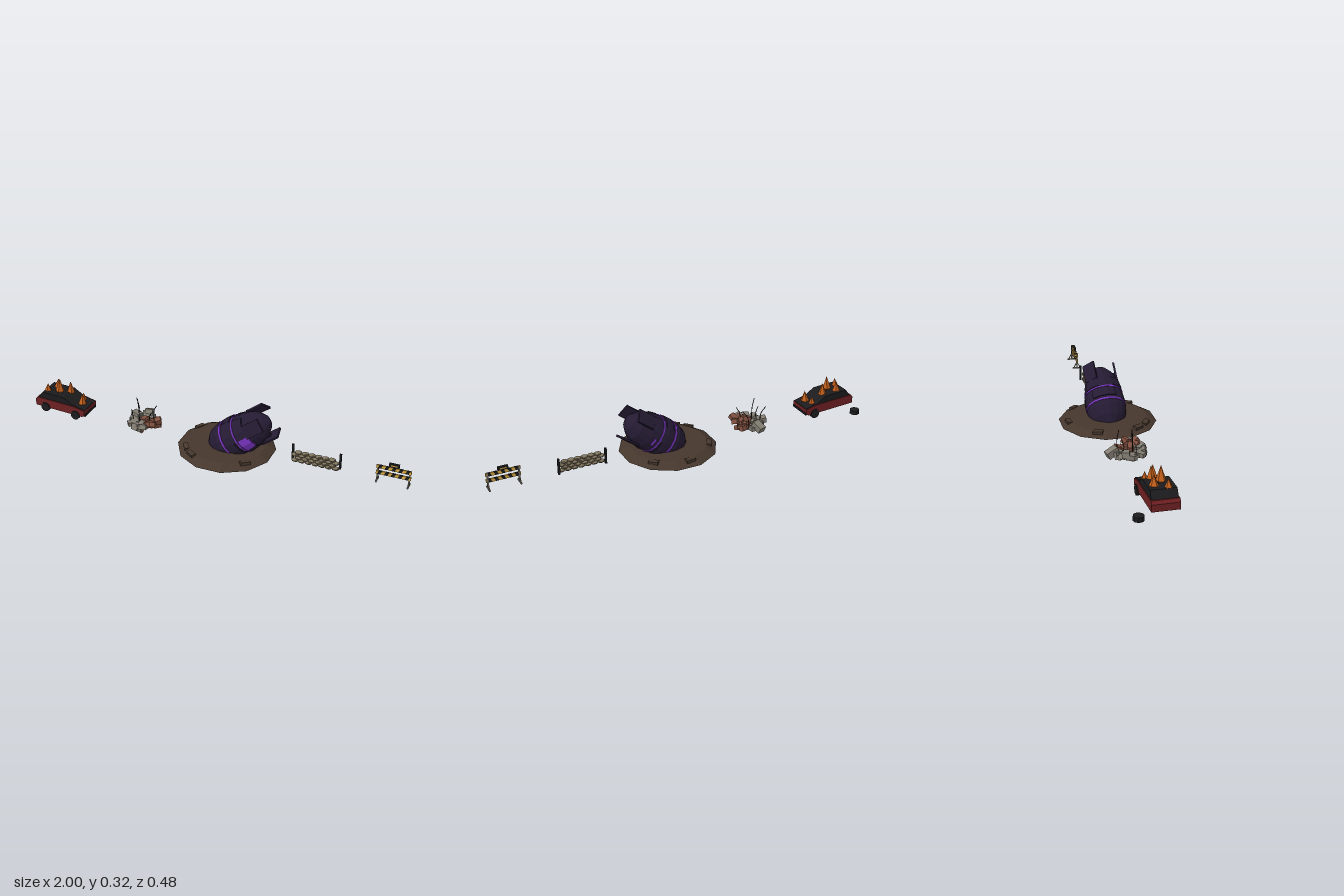
import * as THREE from 'three';

const mat = (name, color, double = false) => {
  const m = new THREE.MeshStandardMaterial({ color, flatShading: true });
  m.name = name;
  if (double) m.side = THREE.DoubleSide;
  return m;
};

export function createModel() {
  const root = new THREE.Group();
  const M = {
    red: mat('carRed', 0x6e2022), black: mat('charcoal', 0x1c1c1e),
    flame: mat('flameOrange', 0xc4601c), grey: mat('concreteGrey', 0x827c72),
    brick: mat('brick', 0x80503f), earth: mat('earthBrown', 0x46372d),
    hull: mat('hullViolet', 0x251b33, true), glow: mat('glowPurple', 0x7c35c6, true),
    sack: mat('sackTan', 0x82765e), yellow: mat('boardYellow', 0xdcab42),
  };
  const G = 0.063; // ground level
  let seed = 7;
  const rnd = (a, b) => {
    seed = (seed * 16807) % 2147483647;
    return a + (b - a) * (seed / 2147483647);
  };
  const add = (parent, name, geo, m, p = [0, 0, 0], r = [0, 0, 0]) => {
    const o = new THREE.Mesh(geo, m);
    o.name = name;
    o.position.set(...p);
    o.rotation.set(...r);
    parent.add(o);
    return o;
  };
  const group = (name, x = 0, y = 0, z = 0) => {
    const g = new THREE.Group();
    g.name = name;
    g.position.set(x, y, z);
    root.add(g);
    return g;
  };
  const box = (w, h, d) => new THREE.BoxGeometry(w, h, d);
  const slab = (pts, depth) => new THREE.ExtrudeGeometry(
    new THREE.Shape(pts.map(p => new THREE.Vector2(...p))), { depth, bevelEnabled: false },
  ).translate(0, 0, -depth / 2);

  // Crater mound with loose clods on its rim
  const mound = group('mound', 0.067, G, 0);
  add(mound, 'moundBase', new THREE.CylinderGeometry(0.2, 0.247, 0.025, 12), M.earth, [0, 0.0125, 0], [0, Math.PI / 12, 0]);
  for (const a of [0.75, 2.2, 2.55, 3.6, 4.6, 5.5]) {
    add(mound, 'clod', box(0.025, 0.016, 0.05), M.earth,
      [Math.cos(a) * 0.205, 0.02, Math.sin(a) * 0.205], [rnd(-0.2, 0.2), -a, rnd(-0.3, 0)]);
  }

  // Crashed pod: its local y runs from the buried nose to the tail
  const pod = group('pod', 0.243, 0.226, 0);
  pod.rotation.z = -THREE.MathUtils.degToRad(53);
  const profile = [[0, -0.315], [0.05, -0.3], [0.085, -0.26], [0.1, -0.21], [0.1, -0.14],
    [0.09, -0.06], [0.072, 0], [0.04, 0.04], [0, 0.062]];
  const radiusAt = t => {
    const i = profile.findIndex(p => p[1] > t);
    const [r0, t0] = profile[i - 1], [r1, t1] = profile[i];
    return r0 + (r1 - r0) * (t - t0) / (t1 - t0);
  };
  const SIDES = 16, STEP = Math.PI * 2 / SIDES;
  add(pod, 'podHull', new THREE.LatheGeometry(profile.map(p => new THREE.Vector2(...p)), SIDES), M.hull);
  // Thin skins wrapped over the hull: t0..t1 along it, a number of facets around it
  const skin = (name, m, t0, t1, lift, first = 0, count = SIDES) => {
    const ts = [t0, (t0 + t1) / 2, t1];
    const pts = ts.map(t => new THREE.Vector2(radiusAt(t) + lift, t));
    pts.unshift(new THREE.Vector2(radiusAt(t0) - 0.001, t0));
    pts.push(new THREE.Vector2(radiusAt(t1) - 0.001, t1));
    add(pod, name, new THREE.LatheGeometry(pts, count, first * STEP, count * STEP), m);
  };
  skin('glowBand', M.glow, -0.187, -0.178, 0.003);
  skin('glowBand', M.glow, -0.112, -0.105, 0.003);
  skin('glowPatch', M.glow, -0.1, -0.045, 0.004, 0, 2);
  skin('glowChip', M.glow, -0.09, -0.08, 0.003, 7, 1);
  for (const f of [0, 5, 10]) skin('hullPanel', M.hull, -0.165, -0.122, 0.005, f, 3);
  for (const f of [2, 9, 13]) skin('hullPanel', M.hull, -0.1, -0.05, 0.004, f, 2);
  // Three tail plates
  for (const deg of [75, 195, 315]) {
    const mount = new THREE.Group();
    mount.name = 'tailFin';
    mount.rotation.y = THREE.MathUtils.degToRad(deg + 180);
    add(mount, 'finPlate', box(0.01, 0.1, 0.07), M.hull, [0.084, 0, 0]);
    add(mount, 'finStrut', box(0.03, 0.04, 0.015), M.hull, [0.068, -0.015, 0]);
    pod.add(mount);
  }

  // Burnt-out car, leaning toward its front end
  const car = group('burningCar', -0.852, G + 0.01, 0);
  car.rotation.z = -0.06;
  add(car, 'carBody', slab([[-0.142, 0.018], [0.13, 0.018], [0.143, 0.028], [0.143, 0.054],
    [0.085, 0.066], [-0.135, 0.066], [-0.145, 0.052]], 0.126), M.red);
  add(car, 'burntCabin', slab([[-0.128, 0.064], [0.085, 0.064], [0.02, 0.101], [-0.105, 0.101]], 0.118), M.black);
  add(car, 'burntHood', box(0.06, 0.004, 0.116), M.black, [0.112, 0.0615, 0], [0, 0, -0.2]);
  add(car, 'bumper', box(0.008, 0.012, 0.12), M.black, [0.143, 0.028, 0]);
  const wheel = () => new THREE.CylinderGeometry(0.025, 0.025, 0.022, 10);
  for (const [x, z] of [[-0.085, 0.058], [0.092, 0.058], [0.092, -0.058]]) {
    add(car, 'wheel', wheel(), M.black, [x, 0.02, z], [Math.PI / 2, 0, 0]);
  }
  // Flames: x, base y, z, height, radius
  for (const [x, y, z, h, r] of [[-0.09, 0.09, 0.025, 0.05, 0.018], [-0.06, 0.09, -0.03, 0.06, 0.021],
    [-0.028, 0.09, 0.01, 0.086, 0.023], [0.018, 0.08, -0.02, 0.08, 0.022], [0.106, 0.055, 0.012, 0.07, 0.022],
    [0.088, 0.055, -0.03, 0.05, 0.018]]) {
    add(car, 'flame', new THREE.ConeGeometry(r, h * 0.8, 5), M.flame, [x, y + h * 0.6, z], [0, x * 40, 0]);
    add(car, 'flameBase', new THREE.ConeGeometry(r, h * 0.2, 5), M.flame, [x, y + h * 0.1, z], [Math.PI, -x * 40, 0]);
  }
  add(root, 'looseWheel', wheel(), M.black, [-0.977, G + 0.011, -0.113]);

  // Rubble heap: concrete arc, bricks on the open side, bent rods
  const rubble = group('rubble', -0.385, G, -0.015);
  for (let i = 0; i < 14; i++) {
    const a = 1.35 + i * 0.26, r = rnd(0.045, 0.08);
    add(rubble, 'concreteChunk', box(rnd(0.035, 0.06), rnd(0.02, 0.035), rnd(0.025, 0.04)), M.grey,
      [Math.cos(a) * r, rnd(0.02, 0.05), Math.sin(a) * r], [rnd(-0.3, 0.3), -a, rnd(-0.3, 0.3)]);
  }
  for (let i = 0; i < 14; i++) {
    const a = -0.6 + i * 0.19, r = rnd(0.015, 0.078);
    add(rubble, 'brickChunk', box(rnd(0.03, 0.045), rnd(0.018, 0.028), rnd(0.02, 0.032)), M.brick,
      [Math.cos(a) * r, rnd(0.016, 0.055), Math.sin(a) * r], [rnd(-0.4, 0.4), rnd(0, 3), rnd(-0.4, 0.4)]);
  }
  for (const [x, z, dx, h] of [[-0.05, -0.03, -0.025, 0.13], [-0.03, 0.02, -0.01, 0.16],
    [0.02, -0.04, 0.03, 0.12], [0.03, 0.03, 0.02, 0.115], [-0.06, 0.03, -0.01, 0.1]]) {
    const path = new THREE.CatmullRomCurve3([[x, 0.03, z], [x + dx * 0.2, h * 0.7, z], [x + dx, h, z + dx * 0.5]]
      .map(p => new THREE.Vector3(...p)));
    add(rubble, 'bentRod', new THREE.TubeGeometry(path, 6, 0.002, 5), M.black);
  }

  // Sandbag wall between two posts
  const wall = group('sandbagWall', 0.528, G, 0);
  const bag = new THREE.SphereGeometry(1, 8, 6).scale(0.0195, 0.0095, 0.015);
  for (let row = 0; row < 4; row++) {
    const n = row % 2 ? 6 : 7;
    for (let i = 0; i < n; i++) {
      add(wall, 'sandbag', bag, M.sack, [(i - (n - 1) / 2) * 0.034, 0.009 + row * 0.0148, 0], [0, rnd(-0.1, 0.1), 0]);
    }
  }
  for (const s of [-1, 1]) add(wall, 'post', box(0.01, 0.084, 0.01), M.black, [s * 0.12, 0.042, -0.018]);

  // Striped barricade with a warning lamp box
  const barricade = group('barricade', 0.912, G, 0);
  for (const s of [-1, 1]) {
    add(barricade, 'upright', box(0.007, 0.086, 0.007), M.grey, [s * 0.076, 0.043, 0]);
    add(barricade, 'foot', box(0.008, 0.006, 0.05), M.grey, [s * 0.076, 0.003, 0]);
    for (const k of [-1, 1]) {
      add(barricade, 'brace', box(0.005, 0.036, 0.004), M.grey, [s * 0.076, 0.018, k * 0.011], [-k * 0.5, 0, 0]);
    }
  }
  for (const y of [0.045, 0.077]) {
    add(barricade, 'board', box(0.168, 0.017, 0.008), M.yellow, [0, y, 0.002]);
    for (let i = 0; i < 5; i++) {
      const x = -0.066 + i * 0.033;
      add(barricade, 'stripe', slab([[x - 0.012, y - 0.0086], [x + 0.004, y - 0.0086],
        [x + 0.012, y + 0.0086], [x - 0.004, y + 0.0086]], 0.0095), M.black, [0, 0, 0.002]);
    }
  }
  add(barricade, 'lampBox', box(0.05, 0.018, 0.012), M.black, [0, 0.097, 0]);
  add(barricade, 'lampFace', box(0.03, 0.005, 0.0135), M.yellow, [0, 0.097, 0]);

  return root;
}
